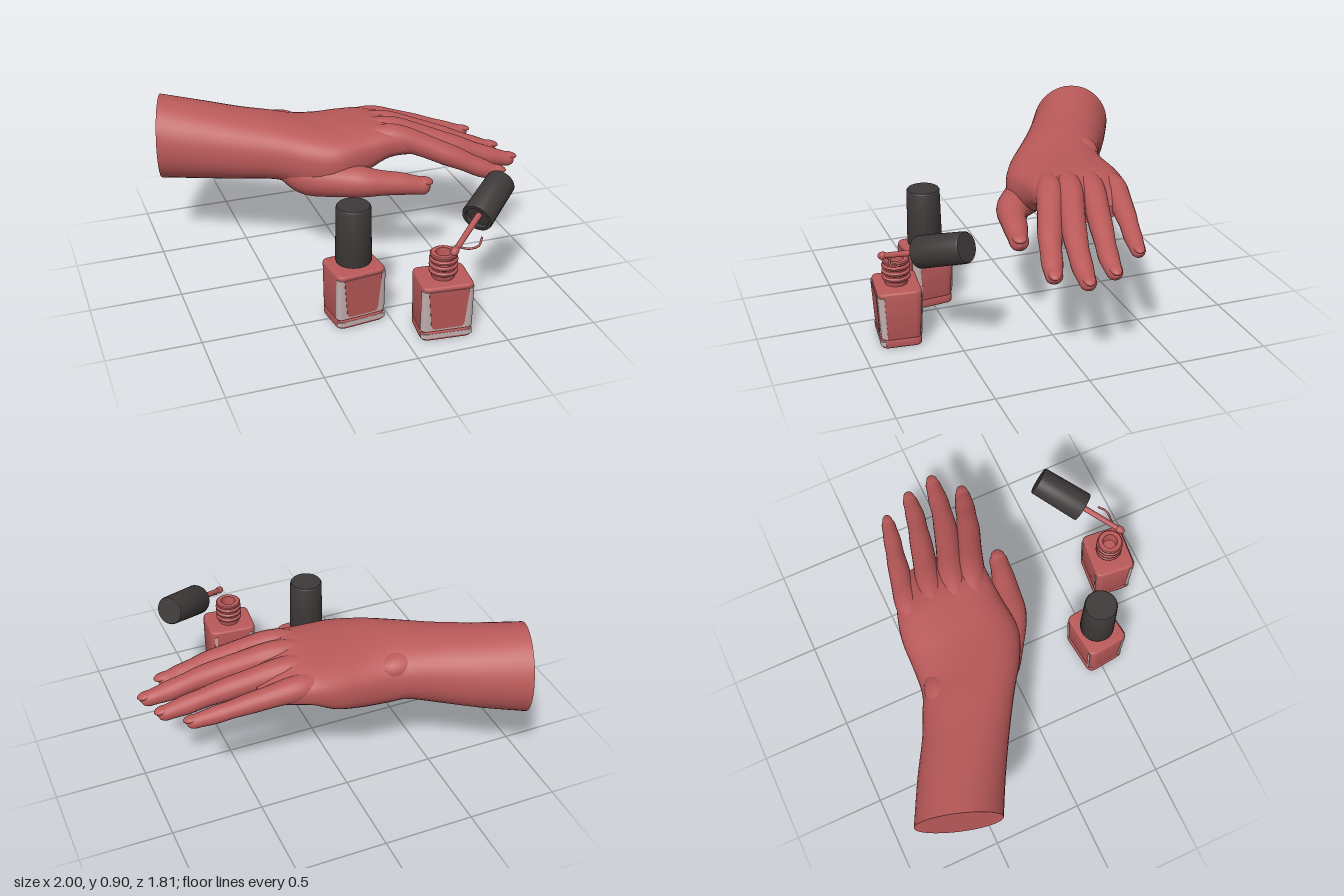
import * as THREE from 'three';
import { toCreasedNormals } from 'three/addons/utils/BufferGeometryUtils.js';

const V = (x, y, z) => new THREE.Vector3(x, y, z);
const UP = V(0, 1, 0);
const material = (name, color) => {
  const m = new THREE.MeshStandardMaterial({ color });
  m.name = name;
  return m;
};
const spline = (pts) => new THREE.CatmullRomCurve3(pts.map((p) => V(...p)), false, 'catmullrom', 0.5);

// Closed skin over rings; at(t, angle) gives each point of the surface
function loft(rings, sides, at) {
  const pos = [], index = [];
  const put = (p) => pos.push(p.x, p.y, p.z) / 3 - 1;
  for (let i = 0; i <= rings; i++)
    for (let j = 0; j < sides; j++) put(at(i / rings, (j / sides) * Math.PI * 2));
  for (let i = 0; i < rings; i++)
    for (let j = 0; j < sides; j++) {
      const k = (j + 1) % sides, a = i * sides + j, b = i * sides + k;
      index.push(a, a + sides, b, b, a + sides, b + sides);
    }
  for (const t of [0, 1]) {
    const ring = [], mid = V(0, 0, 0);
    for (let j = 0; j < sides; j++) {
      const p = at(t, (j / sides) * Math.PI * 2);
      mid.addScaledVector(p, 1 / sides);
      ring.push(put(p));
    }
    const c = put(mid);
    ring.forEach((r, j) => {
      const n = ring[(j + 1) % sides];
      t ? index.push(c, n, r) : index.push(c, r, n);
    });
  }
  const g = new THREE.BufferGeometry();
  g.setAttribute('position', new THREE.Float32BufferAttribute(pos, 3));
  g.setIndex(index);
  g.computeVertexNormals();
  return g;
}

// Upright prism with rounded corners; z0 and z1 are its back and front, foot scales the depth at the bottom
function prism(w, z0, z1, y0, y1, rBack, rFront, bevel, foot) {
  const s = new THREE.Shape(), x = w / 2;
  s.moveTo(-x, -z1 + rFront).quadraticCurveTo(-x, -z1, -x + rFront, -z1);
  s.lineTo(x - rFront, -z1).quadraticCurveTo(x, -z1, x, -z1 + rFront);
  s.lineTo(x, -z0 - rBack).quadraticCurveTo(x, -z0, x - rBack, -z0);
  s.lineTo(-x + rBack, -z0).quadraticCurveTo(-x, -z0, -x, -z0 - rBack);
  const geo = new THREE.ExtrudeGeometry(s, {
    depth: y1 - y0 - 2 * bevel, bevelEnabled: bevel > 0, bevelThickness: bevel, bevelSize: bevel,
    bevelOffset: -bevel, bevelSegments: 3, curveSegments: 6,
  }).rotateX(-Math.PI / 2).translate(0, y0 + bevel, 0);
  const p = geo.attributes.position;
  for (let i = 0; i < p.count; i++)
    p.setZ(i, p.getZ(i) * THREE.MathUtils.mapLinear(p.getY(i), 0.05, 0.32, foot, 1));
  return toCreasedNormals(geo, 0.6);
}

export function createModel() {
  const model = new THREE.Group();
  const red = material('polishRed', 0xba5959);
  const black = material('capBlack', 0x3e3939);
  const glass = material('clearGlass', 0xc4b0b0);

  const add = (parent, name, geo, mat, x = 0, y = 0, z = 0) => {
    const m = new THREE.Mesh(geo, mat);
    m.name = name;
    m.position.set(x, y, z);
    parent.add(m);
    return m;
  };

  // ---- Hand ----
  const hand = new THREE.Group();
  hand.name = 'hand';
  model.add(hand);

  // Forearm and palm: thumb edge x,z, little finger edge x,z, top, bottom, tilt
  const sections = [
    [-1, -0.46, -0.86, -0.9, 0.9, 0.415, 0],
    [-0.8, -0.355, -0.64, -0.785, 0.87, 0.432, 0],
    [-0.6, -0.24, -0.45, -0.675, 0.845, 0.455, 0],
    [-0.4, -0.115, -0.31, -0.61, 0.83, 0.48, 0],
    [-0.26, -0.02, -0.21, -0.572, 0.815, 0.458, 0],
    [-0.1, 0.045, -0.07, -0.56, 0.803, 0.468, 0],
    [0.08, 0.03, 0.08, -0.555, 0.802, 0.52, 0.01],
    [0.22, 0.02, 0.2, -0.53, 0.796, 0.585, 0.015],
    [0.35, 0.025, 0.33, -0.485, 0.755, 0.605, 0.01],
    [0.47, 0.03, 0.44, -0.43, 0.685, 0.61, 0],
  ];
  const front = spline(sections.map((s) => [s[0], s[6], s[1]]));
  const back = spline(sections.map((s) => [s[2], -s[6], s[3]]));
  const height = spline(sections.map((s) => [s[4], s[5], 0]));
  add(hand, 'forearmAndPalm', loft(54, 40, (t, a) => {
    const f = front.getPoint(t), b = back.getPoint(t), h = height.getPoint(t);
    const power = 1 - 0.25 * Math.min(1, t * 1.6);
    const round = (v) => Math.sign(v) * Math.abs(v) ** power;
    const p = f.clone().add(b).multiplyScalar(0.5);
    p.y += (h.x + h.y) / 2 + (round(Math.sin(a)) * (h.x - h.y)) / 2;
    return p.addScaledVector(f.sub(b), round(Math.cos(a)) / 2);
  }), red);
  const bump = add(hand, 'wristBone', new THREE.SphereGeometry(1, 24, 16), red, -0.3, 0.72, -0.485);
  bump.scale.set(0.14, 0.08, 0.09);

  // Fingers: start, knuckle, middle joint, end joint, tip, each x,y,z,radius
  const fingers = {
    indexFinger: [[0.03, 0.73, -0.13, 0.05], [0.27, 0.732, -0.065, 0.074], [0.56, 0.622, 0.046, 0.063], [0.73, 0.543, 0.1, 0.054], [0.845, 0.502, 0.13, 0.042]],
    middleFinger: [[0.03, 0.735, -0.22, 0.05], [0.28, 0.735, -0.17, 0.074], [0.62, 0.628, -0.067, 0.063], [0.83, 0.55, -0.022, 0.054], [0.985, 0.508, 0, 0.04]],
    ringFinger: [[0.03, 0.73, -0.33, 0.05], [0.28, 0.722, -0.3, 0.072], [0.59, 0.632, -0.228, 0.06], [0.79, 0.56, -0.182, 0.052], [0.94, 0.518, -0.162, 0.04]],
    littleFinger: [[0.03, 0.71, -0.44, 0.05], [0.26, 0.7, -0.44, 0.07], [0.51, 0.647, -0.4, 0.055], [0.69, 0.598, -0.362, 0.047], [0.835, 0.565, -0.335, 0.036]],
    thumb: [[-0.42, 0.64, -0.34, 0.05], [-0.22, 0.55, -0.14, 0.118], [0.02, 0.55, 0.052, 0.09], [0.24, 0.53, 0.115, 0.064], [0.405, 0.5, 0.148, 0.05]],
  };
  for (const [name, st] of Object.entries(fingers)) {
    const path = spline(st.map((s) => s.slice(0, 3)));
    const radius = spline(st.map((s) => [s[3], 0, 0]));
    const frame = (t) => {
      const d = path.getTangent(t);
      const side = d.clone().cross(UP).normalize();
      return { d, side, up: side.clone().cross(d), p: path.getPoint(t), r: radius.getPoint(t).x };
    };
    add(hand, name, loft(60, 20, (t, a) => {
      const { p, side, up, r } = frame(t);
      const k = Math.max(0, (t - 0.92) / 0.08);
      const s = r * (1 + 0.03 * Math.cos(8 * Math.PI * t)) * Math.sqrt(Math.max(0, 1 - k * k));
      return p.addScaledVector(side, s * Math.cos(a)).addScaledVector(up, s * 0.95 * Math.sin(a));
    }), red);
    // Nail
    const { p, d, side, up, r } = frame(0.94);
    const nail = add(hand, name + 'Nail', new THREE.SphereGeometry(1, 20, 12), red);
    nail.quaternion.setFromRotationMatrix(new THREE.Matrix4().makeBasis(d, up, side));
    nail.position.copy(p).addScaledVector(up, r * 0.6);
    nail.scale.set(0.046, r * 0.4, r * 0.75);
  }

  // ---- Bottles ----
  const lathe = (pts) => toCreasedNormals(new THREE.LatheGeometry(pts.map((p) => new THREE.Vector2(...p)), 40), 0.6);
  const capGeo = lathe([[0, 0.03], [0.075, 0.03], [0.075, 0], [0.094, 0], [0.097, 0.01], [0.091, 0.315], [0.086, 0.322], [0, 0.322]]);

  // Neck with raised thread rings and a hollow mouth
  const neckPts = [[0.055, 0.3], [0.062, 0.335]];
  for (let i = 0; i < 3; i++) {
    const y = 0.345 + i * 0.033;
    neckPts.push([0.064, y], [0.075, y + 0.008], [0.075, y + 0.016], [0.064, y + 0.025]);
  }
  neckPts.push([0.07, 0.443], [0.072, 0.455], [0.066, 0.46], [0.042, 0.46], [0.036, 0.4], [0, 0.4]);
  const neckGeo = lathe(neckPts);

  // Plate lying on the sloping front of the body
  const facePlate = (pts, z) =>
    new THREE.ExtrudeGeometry(new THREE.Shape(pts.map(([x, y]) => new THREE.Vector2(x, y - 0.15))),
      { depth: 0.003, bevelEnabled: false }).translate(0, 0, z).rotateX(0.048).translate(0, 0.15, 0.1105);
  const panel = [[-0.07, 0.07], [0.07, 0.07], [0.082, 0.076], [0.089, 0.092], [0.108, 0.3], [-0.108, 0.3], [-0.089, 0.092], [-0.082, 0.076]];

  function bottle(name, x, z, turn) {
    const g = new THREE.Group();
    g.name = name;
    g.position.set(x, 0, z);
    g.rotation.y = turn;
    model.add(g);
    add(g, 'bottleBody', prism(0.274, -0.1175, 0.1175, 0.045, 0.32, 0.04, 0.04, 0.012, 0.89), red);
    add(g, 'bottleFoot', prism(0.274, -0.11, 0.11, 0, 0.055, 0.045, 0.045, 0.012, 1), red);
    add(g, 'bottleNeck', neckGeo, red);
    // Clear wall wrapping the front corners, with the filled panel over it
    add(g, 'glassFront', prism(0.278, 0.085, 0.1195, 0.058, 0.298, 0.002, 0.032, 0, 0.89), glass);
    add(g, 'polishPanel', facePlate(panel, 0.003), red);
    add(g, 'glassFootFront', prism(0.276, 0.085, 0.1115, 0.016, 0.042, 0.002, 0.025, 0, 1), glass);
    // Clear edges at the back
    for (const s of [-0.108, 0.108])
      add(g, 'glassBackEdge', facePlate([[s - 0.009, 0.06], [s + 0.009, 0.06], [s + 0.009, 0.29], [s - 0.009, 0.29]], 0), glass)
        .rotation.y = Math.PI;
    return g;
  }
  const closed = bottle('closedBottle', -0.175, 0.507, 0.11);
  add(closed, 'bottleCap', capGeo, black, 0, 0.34, 0);
  bottle('openBottle', 0.218, 0.777, -0.1);

  // ---- Cap with brush, held above the open bottle ----
  const brush = new THREE.Group();
  brush.name = 'brush';
  const capStart = V(0.43, 0.575, 0.7), capEnd = V(0.65, 0.668, 0.52);
  brush.position.copy(capStart);
  brush.quaternion.setFromUnitVectors(UP, capEnd.clone().sub(capStart).normalize());
  model.add(brush);
  const cap = add(brush, 'brushCap', capGeo, black);
  cap.scale.set(0.88, 0.92, 0.88);
  add(brush, 'brushStem', new THREE.CylinderGeometry(0.017, 0.014, 0.3, 16), red, 0, -0.115, 0);
  add(brush, 'brushTip', new THREE.SphereGeometry(0.021, 18, 12), red, 0, -0.25, 0).scale.y = 1.4;

  // Strand of polish hanging from the brush
  const strand = spline([[0.27, 0.5, 0.815], [0.33, 0.487, 0.835], [0.385, 0.492, 0.832], [0.42, 0.515, 0.795]]);
  add(model, 'polishStrand', new THREE.TubeGeometry(strand, 24, 0.006, 8), red);

  return model;
}
